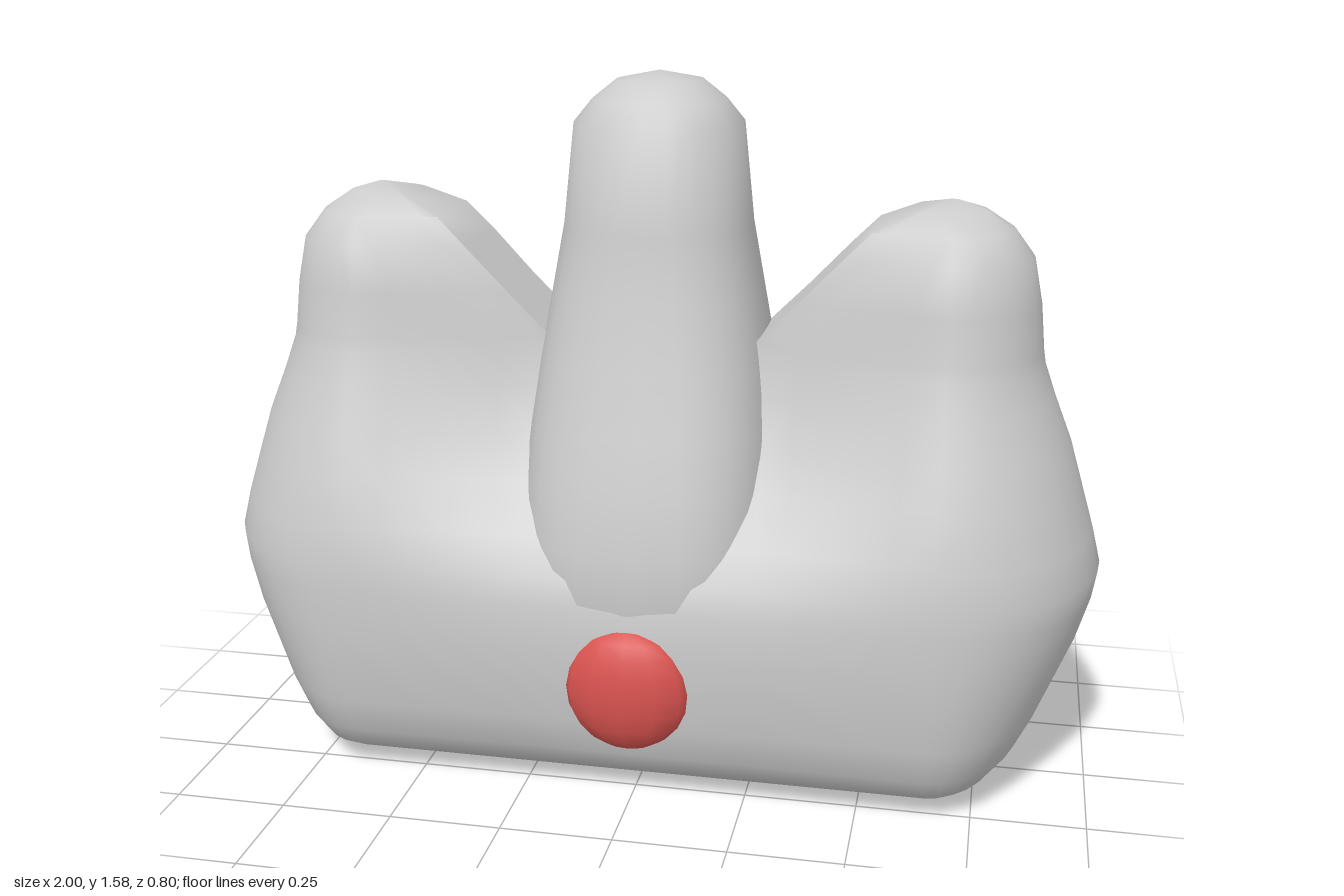
import * as THREE from 'three';
import { mergeGeometries, toCreasedNormals } from 'three/addons/utils/BufferGeometryUtils.js';

const MID_Z = -0.02; // the body sits slightly behind the centre
const lerp = THREE.MathUtils.lerp;

// Skins a stack of rings (bottom to top, each running front -> +x -> back).
// side = -1 mirrors in x; closed(j) tells whether band j wraps around.
function loft(rings, side = 1, closed = () => true) {
  const n = rings[0].length;
  const pos = [], idx = [];
  rings.forEach(r => r.forEach(([x, y, z]) => pos.push(x * side, y, z + MID_Z)));
  for (let j = 0; j < rings.length - 1; j++) {
    for (let i = 0; i < (closed(j) ? n : n - 1); i++) {
      const k = (i + 1) % n;
      const a = j * n + i, b = j * n + k, c = b + n, d = a + n;
      if (side > 0) idx.push(a, b, c, a, c, d);
      else idx.push(a, c, b, a, d, c);
    }
  }
  const g = new THREE.BufferGeometry();
  g.setAttribute('position', new THREE.Float32BufferAttribute(pos, 3));
  g.setIndex(idx);
  return g;
}

// Body half: [y, inner x, outer x, depth at the lobe, depth at the middle]
const BODY = [
  [0, 0, 0.62, 0, 0],
  [0, 0, 0.64, 0.15, 0.15],
  [0.03, 0, 0.77, 0.26, 0.26],
  [0.06, 0, 0.81, 0.31, 0.305],
  [0.11, 0, 0.85, 0.343, 0.338],
  [0.19, 0, 0.89, 0.364, 0.36],
  [0.36, 0, 0.96, 0.378, 0.374],
  [0.46, 0, 0.99, 0.377, 0.368],
  [0.52, 0, 1.0, 0.374, 0.352],
  [0.6, 0, 0.98, 0.36, 0.305],
  [0.7, 0, 0.95, 0.33, 0.225],
  [0.8, 0, 0.92, 0.293, 0.165],
  [0.9, 0, 0.88, 0.255, 0.13],
  [0.97, 0, 0.855, 0.232, 0.115],
  [1.0, 0.225, 0.85, 0.224, 0.11],
  [1.1, 0.325, 0.84, 0.208, 0.11],
  [1.2, 0.42, 0.82, 0.19, 0.115],
  [1.26, 0.48, 0.775, 0.145, 0.11],
  [1.3, 0.57, 0.715, 0.085, 0.07],
  [1.32, 0.635, 0.65, 0, 0],
];

// Half a stadium: a straight flank narrowing inwards, then a rounded outer end
function bodyRing([y, xi, xo, d, di]) {
  const front = [[xi, y, di]];
  const start = Math.max(xi, 0.26);
  const c = Math.max(Math.min(0.65, xo - 0.12), start);
  for (let i = 0; i <= 5; i++) front.push([lerp(start, c, i / 5), y, lerp(di, d, i / 5)]);
  for (let i = 1; i <= 7; i++) {
    const a = (i / 8) * Math.PI / 2;
    front.push([c + (xo - c) * Math.sin(a), y, d * Math.cos(a)]);
  }
  const back = front.map(([x, h, z]) => [x, h, -z]).reverse();
  return [...front, [xo, y, 0], ...back];
}

// Middle column: [y, half width, half depth]
const COLUMN = [
  [0.36, 0.25, 0.35],
  [0.47, 0.29, 0.372],
  [0.58, 0.292, 0.362],
  [0.7, 0.285, 0.338],
  [0.82, 0.275, 0.305],
  [0.95, 0.258, 0.27],
  [1.1, 0.233, 0.235],
  [1.25, 0.207, 0.207],
  [1.47, 0.185, 0.185],
  [1.52, 0.145, 0.145],
  [1.56, 0.095, 0.1],
  [1.58, 0, 0],
];

// Squared ellipse, boxier towards the foot of the column
function columnRing([y, rx, rz]) {
  const power = lerp(0.66, 0.85, THREE.MathUtils.smoothstep(y, 0.6, 1.47));
  const soft = v => Math.sign(v) * Math.abs(v) ** power;
  return Array.from({ length: 28 }, (_, i) => {
    const a = (i / 28) * Math.PI * 2;
    return [rx * soft(Math.sin(a)), y, rz * soft(Math.cos(a))];
  });
}

export function createModel() {
  const group = new THREE.Group();
  const grey = new THREE.MeshStandardMaterial({ color: 0xcccccc });
  const red = new THREE.MeshStandardMaterial({ color: 0xd9534f });
  const add = (name, geometry, material) => {
    const mesh = new THREE.Mesh(geometry, material);
    mesh.name = name;
    group.add(mesh);
    return mesh;
  };

  // Base with two webbed side lobes
  const rings = BODY.map(bodyRing);
  const wraps = j => BODY[j][1] > 0;
  const halves = [1, -1].map(side => loft(rings, side, wraps));
  add('bodyWithSideLobes', toCreasedNormals(mergeGeometries(halves), 0.95), grey);

  // Tall rounded column in the middle
  add('middleColumn', toCreasedNormals(loft(COLUMN.map(columnRing)), 1.1), grey);

  // Flattened button on the front
  const button = add('frontButton', new THREE.SphereGeometry(0.142, 12, 10), red);
  button.scale.z = 0.46;
  button.position.set(0, 0.28, 0.336);

  return group;
}
